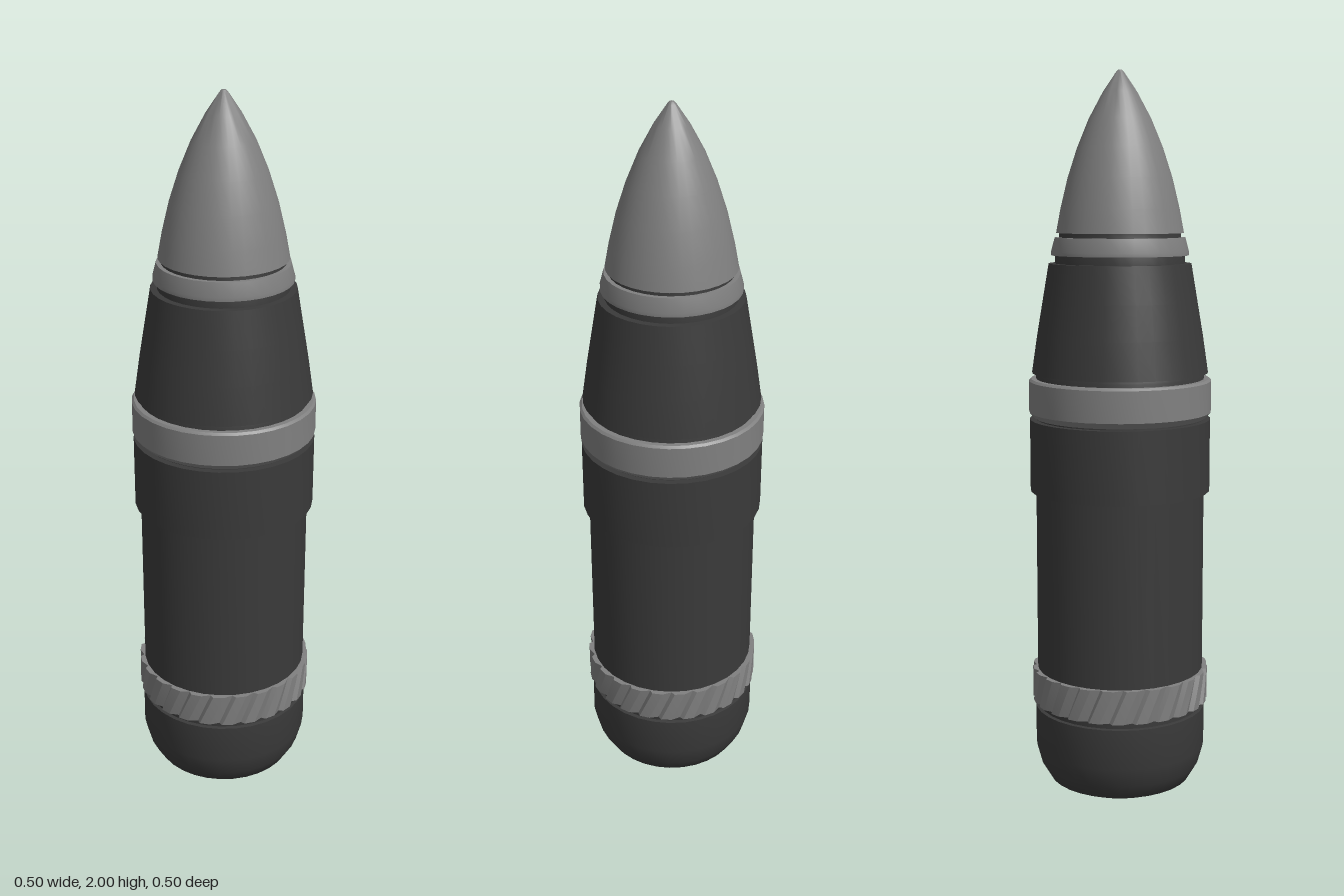
import * as THREE from 'three';
import { toCreasedNormals } from 'three/addons/utils/BufferGeometryUtils.js';

const SIDES = 32;
const TEETH = 24;

export function createModel() {
  const group = new THREE.Group();
  const darkSteel = new THREE.MeshStandardMaterial({ color: 0x3a3a3a });
  darkSteel.name = 'darkSteel';
  const greyMetal = new THREE.MeshStandardMaterial({ color: 0x808080 });
  greyMetal.name = 'greyMetal';

  const add = (name, geometry, material, crease = 0.65) => {
    const mesh = new THREE.Mesh(toCreasedNormals(geometry, crease), material);
    mesh.name = name;
    group.add(mesh);
  };
  // Profile points are [radius, height], from bottom to top
  const turned = (name, profile, material) => add(name,
    new THREE.LatheGeometry(profile.map(([r, y]) => new THREE.Vector2(r, y)), SIDES), material);

  // Rounded base
  turned('base', [[0, 0], [0.1, 0], [0.165, 0.012], [0.2, 0.028], [0.225, 0.07],
    [0.24, 0.125], [0.24, 0.238], [0.225, 0.24], [0, 0.24]], darkSteel);

  // Main body with its thicker shoulder
  turned('body', [[0.23, 0.23], [0.23, 0.26], [0.234, 0.26], [0.234, 0.86],
    [0.25, 0.86], [0.25, 1.06], [0, 1.06]], darkSteel);

  // Twisted driving band: a sawtooth outline extruded upward and sheared around the axis
  const outline = [];
  for (let i = 0; i < TEETH; i++) {
    for (const [t, r] of [[0, 0.237], [0.14, 0.248], [0.6, 0.248]]) {
      const a = ((i + t) / TEETH) * Math.PI * 2;
      outline.push(new THREE.Vector2(Math.cos(a) * r, Math.sin(a) * r));
    }
  }
  const bandHeight = 0.093;
  const band = new THREE.ExtrudeGeometry(new THREE.Shape(outline),
    { depth: bandHeight, steps: 3, bevelEnabled: false });
  band.rotateX(-Math.PI / 2);
  const pos = band.attributes.position;
  const v = new THREE.Vector3();
  const up = new THREE.Vector3(0, 1, 0);
  for (let i = 0; i < pos.count; i++) {
    v.fromBufferAttribute(pos, i);
    v.applyAxisAngle(up, (v.y / bandHeight) * 0.16);
    pos.setXYZ(i, v.x, v.y, v.z);
  }
  band.translate(0, 0.257, 0);
  add('drivingBand', band, greyMetal, 0.3);

  // Recessed necks between the upper parts
  turned('upperNeck', [[0.232, 1.05], [0.232, 1.18], [0.225, 1.2], [0, 1.2]], darkSteel);
  turned('noseNeck', [[0.177, 1.47], [0.177, 1.52], [0.166, 1.55], [0.166, 1.58], [0, 1.58]], darkSteel);

  // Bourrelet ring
  turned('centeringRing', [[0.22, 1.064], [0.237, 1.064], [0.252, 1.08], [0.252, 1.166],
    [0.246, 1.172], [0.22, 1.172]], greyMetal);

  // Tapered upper body
  turned('taperedSection', [[0, 1.188], [0.243, 1.188], [0.228, 1.29], [0.212, 1.385],
    [0.195, 1.486], [0, 1.486]], darkSteel);

  // Ring below the nose
  turned('noseRing', [[0.16, 1.508], [0.188, 1.508], [0.188, 1.518], [0.178, 1.556], [0.16, 1.556]], greyMetal);

  // Pointed nose
  turned('nose', [[0, 1.568], [0.174, 1.568], [0.162, 1.632], [0.142, 1.715], [0.116, 1.795],
    [0.084, 1.872], [0.046, 1.942], [0.012, 1.992], [0.006, 1.999], [0, 2]], greyMetal);

  return group;
}
